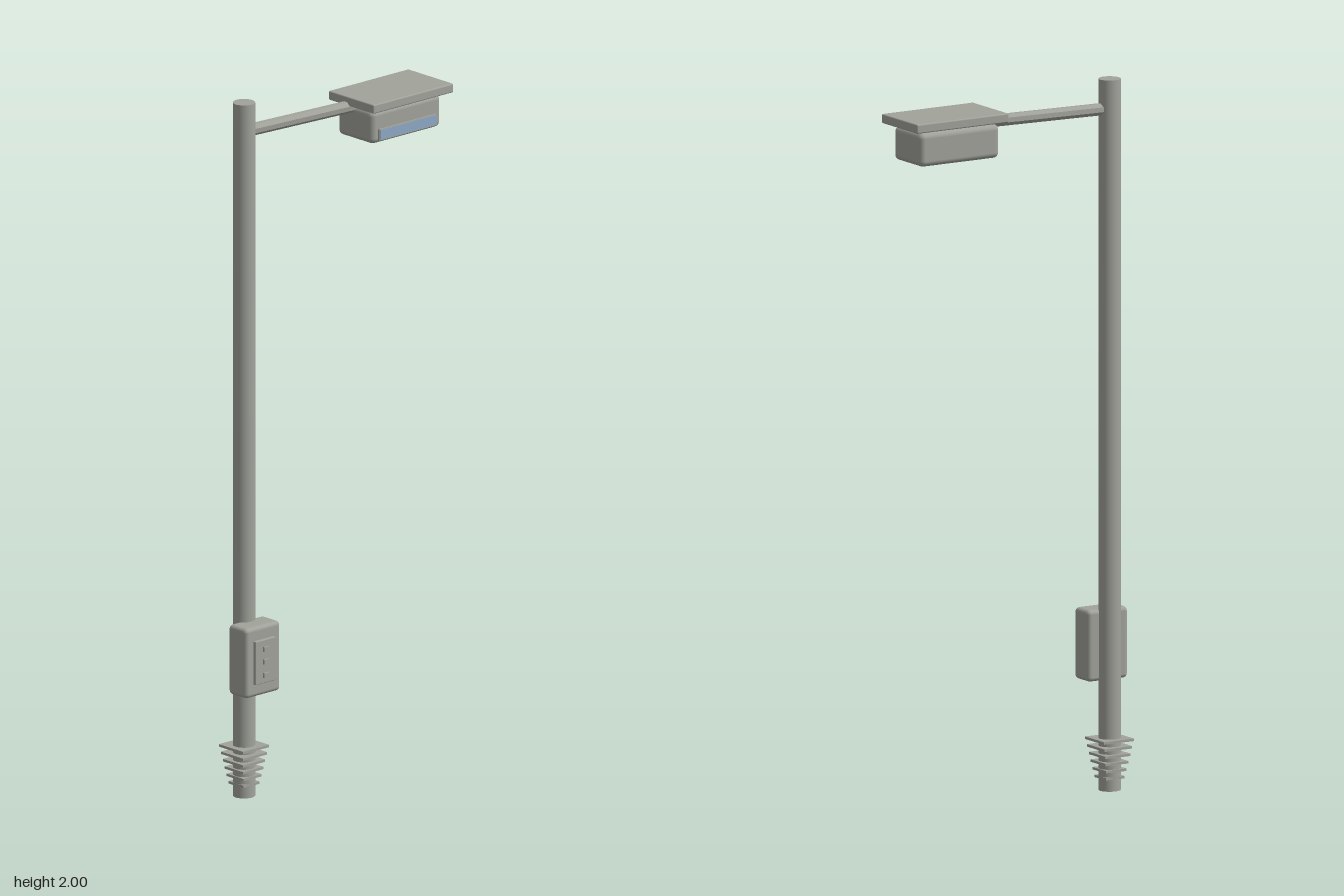
import * as THREE from 'three';
import { RoundedBoxGeometry } from 'three/addons/geometries/RoundedBoxGeometry.js';

export function createModel() {
  const model = new THREE.Group();
  model.name = 'streetLamp';

  const metal = new THREE.MeshStandardMaterial({ color: 0xa1a39b });
  metal.name = 'grey metal';
  const glass = new THREE.MeshStandardMaterial({ color: 0x8fa9c8 });
  glass.name = 'blue glass';

  const POLE_X = -0.297, POLE_Z = -0.047;

  function add(name, geometry, x, y, z, material = metal, parent = model) {
    const mesh = new THREE.Mesh(geometry, material);
    mesh.name = name;
    mesh.position.set(x, y, z);
    parent.add(mesh);
    return mesh;
  }

  // Box given by its extents along each axis, rounded if a radius is given
  function addBox(name, [x0, x1], [y0, y1], [z0, z1], radius = 0, material = metal, parent = model) {
    const size = [x1 - x0, y1 - y0, z1 - z0];
    const geometry = radius
      ? new RoundedBoxGeometry(...size, 3, radius)
      : new THREE.BoxGeometry(...size);
    return add(name, geometry, (x0 + x1) / 2, (y0 + y1) / 2, (z0 + z1) / 2, material, parent);
  }

  // Pole
  add('pole', new THREE.CylinderGeometry(0.031, 0.031, 2, 32), POLE_X, 1, POLE_Z);

  // Square fins at the foot, narrowing downward
  const fins = new THREE.Group();
  fins.name = 'baseFins';
  model.add(fins);
  const FINS = 6;
  for (let i = 0; i < FINS; i++) {
    const t = i / (FINS - 1);
    const side = THREE.MathUtils.lerp(0.098, 0.06, t);
    const y = THREE.MathUtils.lerp(0.143, 0.037, t);
    add('fin', new THREE.BoxGeometry(side, 0.007, side), POLE_X, y, POLE_Z, metal, fins);
  }

  // Control box with a front panel and three buttons
  const control = new THREE.Group();
  control.name = 'controlBox';
  model.add(control);
  addBox('boxBody', [-0.362, -0.231], [0.307, 0.508], [-0.042, 0.032], 0.012, metal, control);
  addBox('boxPanel', [-0.335, -0.26], [0.345, 0.47], [0.03, 0.042], 0.002, metal, control);
  for (const y of [0.368, 0.407, 0.443]) {
    addBox('button', [-0.307, -0.288], [y - 0.007, y + 0.007], [0.04, 0.048], 0, metal, control);
  }

  // Sloping arm from the pole to the lamp head
  const from = new THREE.Vector3(POLE_X, 1.916, POLE_Z);
  const to = new THREE.Vector3(0.175, 1.916, -0.013);
  const direction = to.clone().sub(from);
  const armGeometry = new THREE.CylinderGeometry(0.0175, 0.0175, direction.length(), 8);
  armGeometry.rotateY(Math.PI / 8);
  const middle = from.clone().lerp(to, 0.5);
  const arm = add('arm', armGeometry.toNonIndexed(), middle.x, middle.y, middle.z);
  arm.geometry.computeVertexNormals();
  arm.quaternion.setFromUnitVectors(new THREE.Vector3(0, 1, 0), direction.normalize());

  // Lamp head: top plate, rounded housing and a framed front window
  const head = new THREE.Group();
  head.name = 'lampHead';
  model.add(head);
  addBox('topPlate', [0.06, 0.36], [1.922, 1.948], [-0.091, 0.093], 0.004, metal, head);
  addBox('housing', [0.079, 0.339], [1.822, 1.917], [-0.077, 0.066], 0.016, metal, head);
  addBox('windowFrame', [0.102, 0.316], [1.832, 1.864], [0.06, 0.072], 0, metal, head);
  addBox('window', [0.104, 0.314], [1.835, 1.862], [0.07, 0.074], 0, glass, head);

  return model;
}
